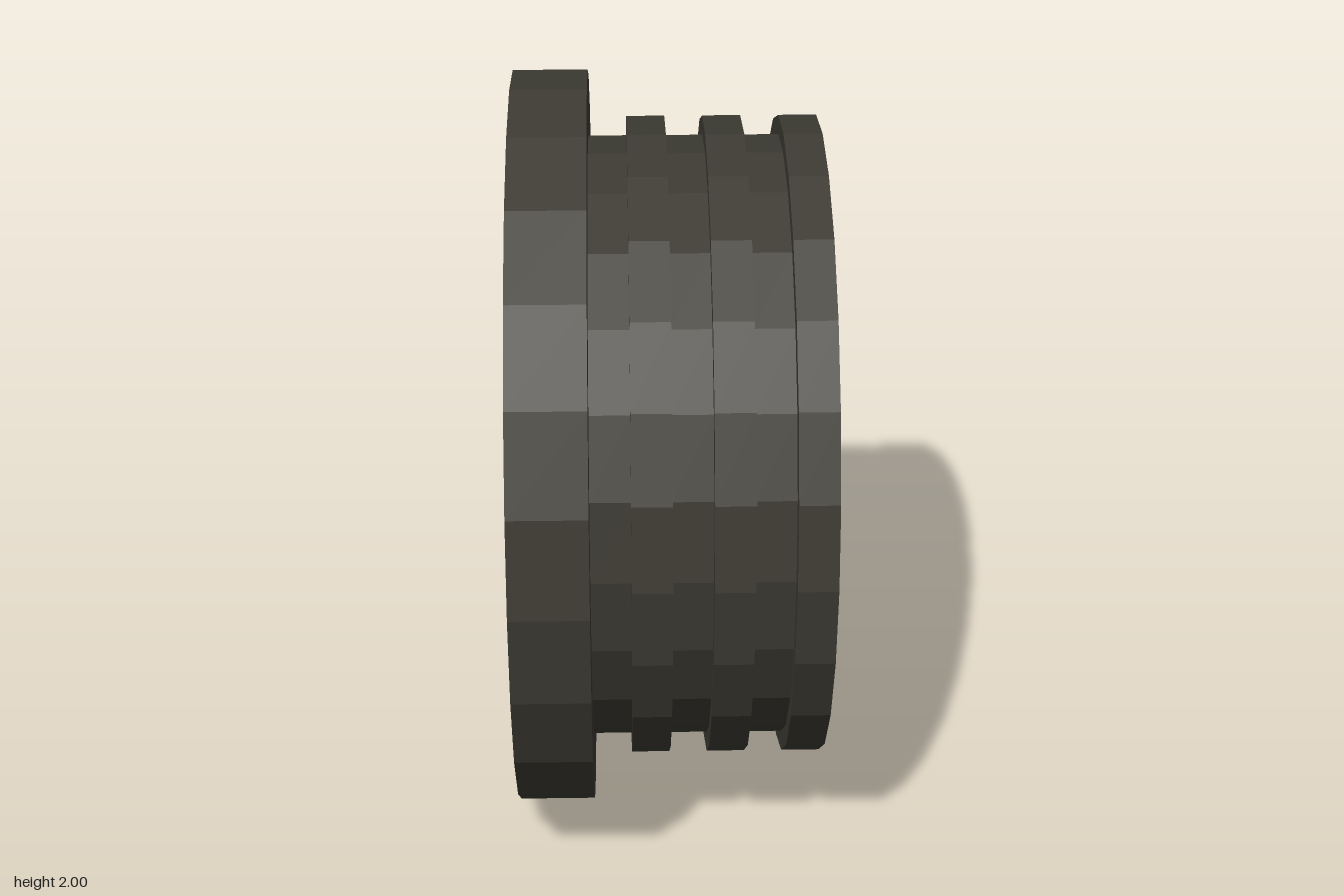
import * as THREE from 'three';

const SIDES = 24;
const BORE = 0.767, RECESS = 0.87, GROOVE = 0.823, RIB = 0.875, FLANGE = 1;
const END = 0.408, SHOULDER = -0.207, STEP = -0.305;

// Turns a profile of [radius, x] pairs around the x axis.
function turned(name, profile, material) {
  const points = profile.map(([r, x]) => new THREE.Vector2(r, x));
  const geometry = new THREE.LatheGeometry(points, SIDES).toNonIndexed();
  geometry.rotateZ(-Math.PI / 2);
  geometry.computeVertexNormals();
  const mesh = new THREE.Mesh(geometry, material);
  mesh.name = name;
  mesh.position.y = 1;
  return mesh;
}

export function createModel() {
  const group = new THREE.Group();
  group.name = 'ribbedCollar';
  const material = new THREE.MeshStandardMaterial({ color: 0x3d3b33, flatShading: true });

  // Wide flange with a recessed seat in its outer end
  group.add(turned('flange', [
    [BORE, STEP], [RECESS, STEP], [RECESS, -END],
    [FLANGE, -END], [FLANGE, SHOULDER], [GROOVE, SHOULDER],
  ], material));

  // Sleeve with three raised ribs, then back through the bore
  const sleeve = [[GROOVE, SHOULDER]];
  const pitch = (END - SHOULDER) / 6;
  for (let i = 0; i < 3; i++) {
    const start = SHOULDER + (2 * i + 1) * pitch;
    sleeve.push([GROOVE, start], [RIB, start], [RIB, start + pitch]);
    if (i < 2) sleeve.push([GROOVE, start + pitch]);
  }
  sleeve.push([BORE, END], [BORE, STEP]);
  group.add(turned('ribbedSleeve', sleeve, material));

  return group;
}
